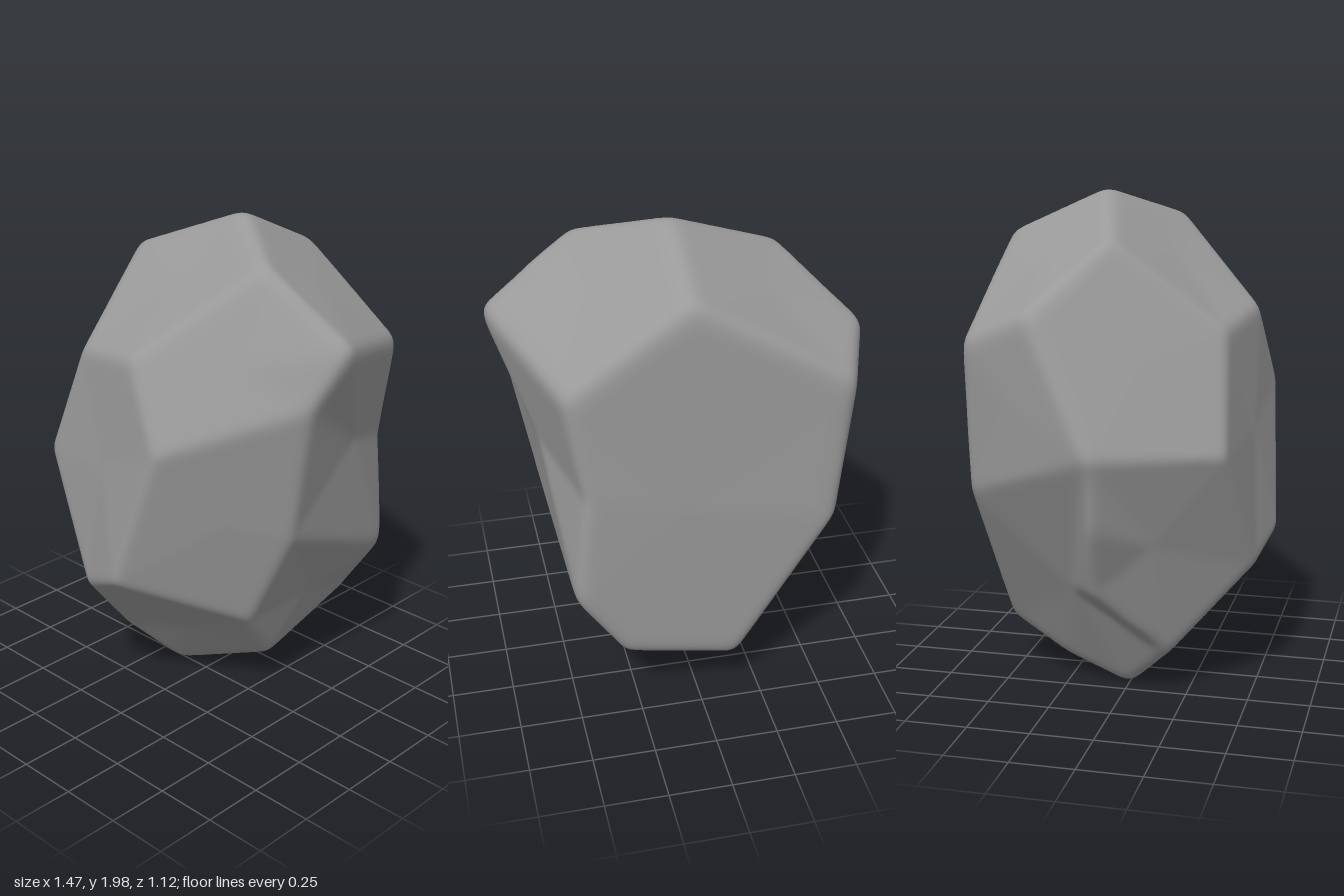
import * as THREE from 'three';
import { mergeVertices } from 'three/addons/utils/BufferGeometryUtils.js';

// Corner points of the boulder's facets
const corners = {
  A: [0.06, 2.015, -0.14], B: [0.4, 1.895, 0.1], C: [-0.385, 1.835, -0.02], D: [0.76, 1.64, 0.03],
  E: [0.07, 1.545, 0.475], F: [-0.28, 1.49, 0.405], G: [0.24, 1.22, 0.525], H: [0.05, 0.65, 0.567],
  I: [-0.17, 0.55, 0.515], J: [-0.45, 1.04, 0.435], K: [-0.753, 1.07, -0.02], L: [-0.665, 1.58, -0.27],
  M: [-0.56, 1.46, -0.557], N: [0.675, 1.42, 0.15], O: [0.38, 0.445, 0.145], P: [0.295, 0.165, -0.07],
  Q: [-0.16, -0.022, 0], R: [-0.29, 0.18, 0.19], S: [0.505, 0.6, -0.545], T: [0.33, 0.34, -0.53],
  U: [-0.14, 0.24, -0.515], V: [0.06, 1.83, -0.55], W: [0.53, 1.5, -0.545], X: [-0.5, 0.87, -0.555],
  Y: [-0.55, 0.5, -0.06], Z: [0.565, 0.86, 0.11], a: [0.455, 1.07, -0.55], b: [-0.695, 0.8, -0.04],
  c: [-0.15, 0.09, -0.28],
};

// Each facet is a loop of corners
const facets = [
  'ABEFC', 'AVWDB', 'ACLMV',            // crown
  'BDNGE', 'EGHIJF', 'CFJKL',           // front
  'GNZOH', 'DWaSZN', 'ZSTPO',           // right side
  'HOPQRI', 'PTUcQ',                    // underside
  'JIRYbK', 'KbYRQcUX', 'LKXM',         // left side
  'VMXUTSaW',                           // back
];

const CENTRE = new THREE.Vector3(0, 1, 0);

// Split every facet into a fan about its middle, relative to the centre
function facetTriangles() {
  const tris = [];
  for (const loop of facets) {
    const pts = [...loop].map((k) => new THREE.Vector3(...corners[k]).sub(CENTRE));
    const mid = pts.reduce((s, p) => s.add(p), new THREE.Vector3()).divideScalar(pts.length);
    pts.forEach((p, i) => tris.push([mid, p, pts[(i + 1) % pts.length]]));
  }
  return tris;
}

// Average each vertex with its neighbours to wear the edges round
function soften(geo, rounds) {
  const pos = geo.attributes.position;
  const idx = geo.index.array;
  for (let r = 0; r < rounds; r++) {
    const sum = new Float32Array(pos.count * 3);
    const count = new Uint16Array(pos.count);
    for (let i = 0; i < idx.length; i += 3) {
      for (let e = 0; e < 3; e++) {
        const from = idx[i + e];
        const to = idx[i + ((e + 1) % 3)];
        sum[to * 3] += pos.getX(from);
        sum[to * 3 + 1] += pos.getY(from);
        sum[to * 3 + 2] += pos.getZ(from);
        count[to]++;
      }
    }
    for (let i = 0; i < pos.count; i++) {
      const n = count[i];
      pos.setXYZ(i, sum[i * 3] / n, sum[i * 3 + 1] / n, sum[i * 3 + 2] / n);
    }
  }
}

export function createModel() {
  // Fine sphere projected outwards onto the facets
  const sphere = new THREE.IcosahedronGeometry(1, 52);
  sphere.deleteAttribute('normal');
  sphere.deleteAttribute('uv');
  const geo = mergeVertices(sphere, 1e-4);
  const pos = geo.attributes.position;
  const tris = facetTriangles();
  const ray = new THREE.Ray();
  const hit = new THREE.Vector3();
  for (let i = 0; i < pos.count; i++) {
    ray.direction.fromBufferAttribute(pos, i).normalize();
    let far = 0;
    for (const [p, q, r] of tris) {
      if (ray.intersectTriangle(p, q, r, false, hit)) far = Math.max(far, hit.length());
    }
    hit.copy(ray.direction).multiplyScalar(far || 0.7);
    pos.setXYZ(i, hit.x, hit.y, hit.z);
  }
  soften(geo, 3);
  geo.translate(CENTRE.x, CENTRE.y, CENTRE.z);
  geo.computeVertexNormals();

  const boulder = new THREE.Mesh(geo, new THREE.MeshStandardMaterial({ color: 0x9a9a9a }));
  boulder.name = 'boulder';
  const group = new THREE.Group();
  group.name = 'rock';
  group.add(boulder);
  return group;
}
